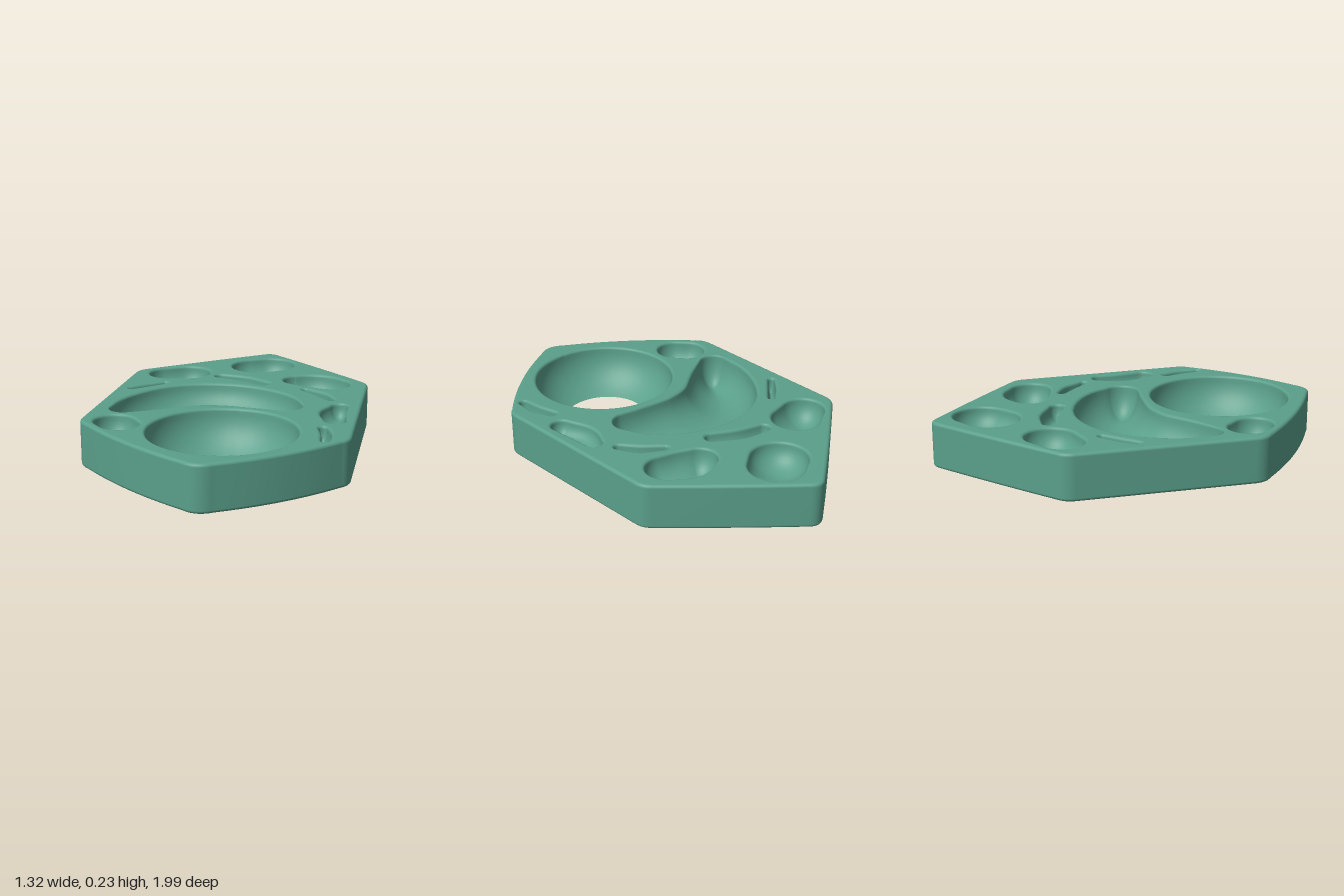
import * as THREE from 'three';

const H = 0.233;      // plate height
const BEVEL = 0.016;  // outer edge rounding
const LIP = 0.014;    // pocket edge rounding

const material = new THREE.MeshStandardMaterial({ color: 0x5a9f8a });
material.name = 'sage green';

// Each pocket is a spine of [x, z, half width]
const bowls = {
  backBowl: [[-0.03, -0.71, 0.155], [0.035, -0.755, 0.15]],
  rightBowl: [[-0.47, -0.45, 0.12], [-0.375, -0.49, 0.138]],
  leftBowl: [[0.255, -0.465, 0.1], [0.34, -0.465, 0.135], [0.425, -0.43, 0.12]],
  rightFrontBowl: [[-0.49, 0.458, 0.113], [-0.448, 0.503, 0.11]],
};
const slots = {
  middleSlot: [[-0.18, -0.455, 0.043], [-0.06, -0.43, 0.055], [0.075, -0.36, 0.05]],
  rightSlot: [[-0.58, -0.115, 0.03], [-0.515, -0.185, 0.036], [-0.44, -0.255, 0.03]],
  leftSlot: [[0.315, -0.285, 0.03], [0.41, -0.215, 0.045], [0.475, -0.13, 0.033]],
  leftPocket: [[0.535, -0.02, 0.055], [0.52, 0.09, 0.08], [0.55, 0.22, 0.065]],
  leftFrontSlot: [[0.51, 0.35, 0.035], [0.54, 0.44, 0.04], [0.55, 0.54, 0.033]],
};
const kidneyTray = [[-0.505, 0.25, 0.08], [-0.41, 0.1, 0.165], [-0.26, -0.055, 0.21],
  [-0.07, -0.105, 0.212], [0.15, -0.05, 0.165], [0.265, 0.025, 0.1]];
const throughBowl = [[0.05, 0.5, 0.37], [0.062, 0.5, 0.37]];

// Skin a stack of closed rings of [x, y, z]
function skin(rings) {
  const n = rings[0].length, index = [];
  for (let i = 0; i < rings.length - 1; i++) {
    for (let j = 0; j < n; j++) {
      const a = i * n + j, b = i * n + (j + 1) % n;
      index.push(a, b, b + n, a, b + n, a + n);
    }
  }
  const g = new THREE.BufferGeometry();
  g.setAttribute('position', new THREE.Float32BufferAttribute(rings.flat(2), 3));
  g.setIndex(index);
  g.computeVertexNormals();
  return g;
}

// Flat face at height y, facing up (dir 1) or down (dir -1)
function flatFace(outline, holes, y, dir) {
  const flip = pts => pts.map(p => new THREE.Vector2(p.x, -dir * p.y));
  const shape = new THREE.Shape(flip(outline));
  shape.holes = holes.map(h => new THREE.Path(flip(h)));
  return new THREE.ShapeGeometry(shape).rotateX(-dir * Math.PI / 2).translate(0, y, 0);
}

// Six-sided outline with rounded corners and slightly bowed edges
function makeOutline() {
  const corners = [ // x, z, corner cut, bow of the following edge
    [0.06, 1.025, 0.1, 0.03], [0.664, 0.5, 0.05, 0], [0.625, -0.48, 0.05, 0.004],
    [-0.005, -1.019, 0.06, 0.004], [-0.66, -0.48, 0.05, 0], [-0.66, 0.5, 0.06, 0.028],
  ].map(([x, z, cut, bow]) => ({ p: new THREE.Vector2(x, z), cut, bow }));
  const toward = (a, b) => a.p.clone().add(b.p.clone().sub(a.p).setLength(a.cut));
  const path = new THREE.Path();
  corners.forEach((c, i) => {
    const prev = corners[(i + 5) % 6], next = corners[(i + 1) % 6];
    const start = toward(c, prev), end = toward(c, next), far = toward(next, c);
    if (i === 0) path.moveTo(start.x, start.y);
    path.quadraticCurveTo(c.p.x, c.p.y, end.x, end.y);
    const d = far.clone().sub(end).normalize();
    const mid = end.clone().add(far).multiplyScalar(0.5);
    path.quadraticCurveTo(mid.x - d.y * 2 * c.bow, mid.y + d.x * 2 * c.bow, far.x, far.y);
  });
  const pts = path.getPoints(10);
  pts.pop(); // the last point repeats the first
  return pts;
}

// Move a closed outline inward
function inset(pts, d) {
  const n = pts.length;
  return pts.map((p, i) => {
    const t = pts[(i + 1) % n].clone().sub(pts[(i + n - 1) % n]).normalize();
    return new THREE.Vector2(p.x + t.y * d, p.y - t.x * d);
  });
}

// Rim wrapped round a spine of varying width, with the spine point below each rim point
function wrapSpine(spine) {
  const curve = new THREE.CatmullRomCurve3(spine.map(([x, z, w]) => new THREE.Vector3(x, w, z)));
  const steps = 24, caps = 28, rim = [], floor = [];
  const stations = Array.from({ length: steps + 1 }, (_, i) => {
    const p = curve.getPoint(i / steps), t = curve.getTangent(i / steps);
    return {
      c: new THREE.Vector2(p.x, p.z), w: p.y,
      heading: Math.atan2(t.z, t.x), spread: Math.acos(-t.y / Math.hypot(t.x, t.z)),
    };
  });
  const put = (s, angle) => {
    rim.push(new THREE.Vector2(s.c.x + s.w * Math.cos(angle), s.c.y + s.w * Math.sin(angle)));
    floor.push(s.c);
  };
  const cap = (s, from, to) => {
    for (let i = 1; i < caps; i++) put(s, from + (to - from) * i / caps);
  };
  const first = stations[0], last = stations[steps];
  stations.forEach(s => put(s, s.heading + s.spread));
  cap(last, last.heading + last.spread, last.heading - last.spread);
  [...stations].reverse().forEach(s => put(s, s.heading - s.spread));
  cap(first, first.heading - first.spread, first.heading + first.spread - 2 * Math.PI);
  return { rim, floor };
}

// Rounded hollow running from its rim down to its spine, or through the plate when depth is 0
function makePocket(spine, depth) {
  const { rim, floor } = wrapSpine(spine);
  const w = LIP * spine.length / spine.reduce((sum, s) => sum + s[2], 0);
  const profile = [];
  for (let i = 0; i <= 4; i++) {
    const a = (i / 4) * Math.PI / 2;
    profile.push([1 - w * Math.sin(a), H - LIP * (1 - Math.cos(a))]);
  }
  const end = depth ? Math.PI / 2 : Math.asin(0.81);
  const drop = depth ? depth - LIP : (H - LIP) / 0.81;
  for (let i = 1; i <= 14; i++) {
    const a = (i / 14) * end;
    profile.push([(1 - w) * Math.cos(a), H - LIP - drop * Math.sin(a)]);
  }
  const at = t => rim.map((p, i) => floor[i].clone().lerp(p, t));
  const geometry = skin(profile.map(([t, y]) => at(t).map(p => [p.x, y, p.y])));
  return { rim, bottom: at(profile[profile.length - 1][0]), geometry };
}

export function createModel() {
  const model = new THREE.Group();
  model.name = 'pocketedTray';
  const add = (name, geometry) => {
    const mesh = new THREE.Mesh(geometry, material);
    mesh.name = name;
    model.add(mesh);
  };

  // Outer wall with rounded lower and upper edges
  const outline = makeOutline();
  const profile = [];
  for (let i = 0; i <= 5; i++) {
    const a = (i / 5) * Math.PI / 2;
    profile.push([BEVEL * (1 - Math.sin(a)), BEVEL * (1 - Math.cos(a))]);
  }
  profile.push(...profile.map(([d, y]) => [d, H - y]).reverse());
  add('outerWall', skin(profile.map(([d, y]) => inset(outline, d).map(p => [p.x, y, p.y]))));

  // Pockets
  const rims = [];
  const addPocket = (name, spine, depth) => {
    const pocket = makePocket(spine, depth);
    rims.push(pocket.rim);
    add(name, pocket.geometry);
    return pocket;
  };
  for (const [name, spine] of Object.entries(bowls)) addPocket(name, spine, 0.13);
  for (const [name, spine] of Object.entries(slots)) addPocket(name, spine, 0.08);
  addPocket('kidneyTray', kidneyTray, 0.17);
  const through = addPocket('throughBowl', throughBowl, 0);

  // Flat faces cut around the pockets
  const border = inset(outline, BEVEL);
  add('topFace', flatFace(border, rims, H, 1));
  add('bottomFace', flatFace(border, [through.bottom], 0, -1));
  return model;
}
